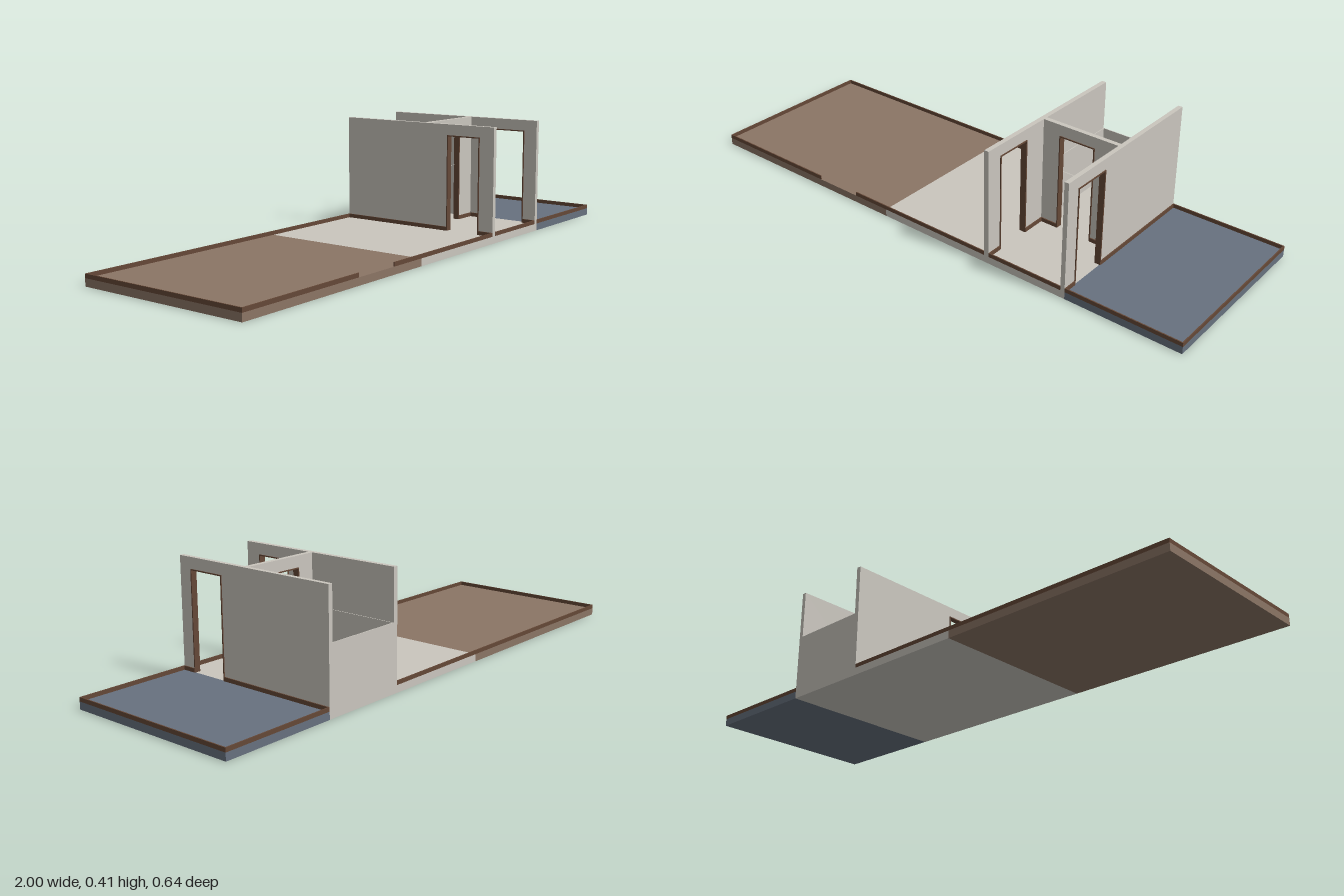
import * as THREE from 'three';

const mat = (name, color) => {
  const m = new THREE.MeshStandardMaterial({ color });
  m.name = name;
  return m;
};

export function createModel() {
  const model = new THREE.Group();
  model.name = 'apartmentSection';
  const wood = mat('brownFloor', 0x8b7565);
  const cream = mat('creamPlaster', 0xcac6be);
  const blue = mat('blueFloor', 0x67717f);
  const trim = mat('darkBrownTrim', 0x654837);

  const Z = 0.322, FLOOR = 0.026, TOP = 0.413, SKIRT = 0.04, T = 0.004;
  const DOOR_TOP = 0.374, TILE_TOP = 0.235;
  const A0 = 0.264, A1 = 0.281;   // first long wall
  const B0 = 0.567, B1 = 0.583;   // second long wall
  const C0 = 0.021, C1 = 0.038;   // cross wall

  // Box given by its bounds
  function box(name, material, x0, x1, y0, y1, z0, z1) {
    const mesh = new THREE.Mesh(new THREE.BoxGeometry(x1 - x0, y1 - y0, z1 - z0), material);
    mesh.position.set((x0 + x1) / 2, (y0 + y1) / 2, (z0 + z1) / 2);
    mesh.name = name;
    model.add(mesh);
  }

  // Upright slab along x or z, with an optional doorway cut from its foot
  function slab(name, axis, u0, u1, w0, w1, y1, door) {
    const s = new THREE.Shape();
    s.moveTo(u0, FLOOR);
    if (door) {
      const h = Math.min(DOOR_TOP, y1);
      s.lineTo(door[0], FLOOR);
      s.lineTo(door[0], h);
      s.lineTo(door[1], h);
      s.lineTo(door[1], FLOOR);
    }
    s.lineTo(u1, FLOOR);
    s.lineTo(u1, y1);
    s.lineTo(u0, y1);
    s.closePath();
    const geo = new THREE.ExtrudeGeometry(s, { depth: w1 - w0, bevelEnabled: false });
    const mesh = new THREE.Mesh(geo, cream);
    if (axis === 'z') {
      mesh.rotation.y = -Math.PI / 2;
      mesh.position.x = w1;
    } else mesh.position.z = w0;
    mesh.name = name;
    model.add(mesh);
  }

  // Box along x or z: u is the running direction, w the thickness
  function run(name, axis, u0, u1, w0, w1, y0, y1) {
    if (axis === 'x') box(name, trim, u0, u1, y0, y1, w0, w1);
    else box(name, trim, w0, w1, y0, y1, u0, u1);
  }
  const skirting = (axis, u0, u1, w0) => run('skirting', axis, u0, u1, w0, w0 + T, FLOOR, SKIRT);

  // Door lining standing slightly proud of both wall faces
  function lining(axis, door, w0, w1) {
    const p = 0.003;
    run('doorJamb', axis, door[0], door[0] + T, w0 - p, w1 + p, FLOOR, DOOR_TOP);
    run('doorJamb', axis, door[1] - T, door[1], w0 - p, w1 + p, FLOOR, DOOR_TOP);
    run('doorHead', axis, door[0] + T, door[1] - T, w0 - p, w1 + p, DOOR_TOP - T, DOOR_TOP);
  }

  // Floors
  box('livingFloor', wood, -1, -0.175, 0, FLOOR, -Z, Z);
  box('hallFloor', cream, -0.175, B1, 0, FLOOR, -Z, Z);
  box('bedroomFloor', blue, B1, 1, 0, FLOOR, -Z, Z);

  // Walls with doorways
  const doorA = [0.128, 0.264], doorB = [0.128, 0.271], doorC = [0.346, 0.482];
  slab('hallWall', 'z', -Z, Z, A0, A1, TOP, doorA);
  slab('bedroomWall', 'z', -Z, Z, B0, B1, TOP, doorB);
  slab('crossWall', 'x', A1, B0, C0, C1, TOP, doorC);
  lining('z', doorA, A0, A1);
  lining('z', doorB, B0, B1);
  lining('x', doorC, C0, C1);

  // Half-height tile lining of the back room
  const t = 0.003;
  slab('backTiles', 'x', A1, B0, -Z, -Z + t, TILE_TOP);
  slab('sideTiles', 'z', -Z + t, C0 - t, A1, A1 + t, TILE_TOP);
  slab('sideTiles', 'z', -Z + t, C0 - t, B0 - t, B0, TILE_TOP);
  slab('crossTiles', 'x', A1, B0, C0 - t, C0, TILE_TOP, doorC);

  // Skirting of the large room, with an entrance gap at the front
  skirting('z', -Z + T, Z - T, -1);
  skirting('x', -1, A0, -Z);
  skirting('x', -1, -0.5, Z - T);
  skirting('x', -0.32, A0, Z - T);
  skirting('z', -Z + T, doorA[0], A0 - T);
  skirting('z', doorA[1], Z - T, A0 - T);

  // Skirting of the small front room
  skirting('x', A1, B0, Z - T);
  skirting('x', A1, doorC[0], C1);
  skirting('x', doorC[1], B0, C1);
  for (const [x, door] of [[A1, doorA], [B0 - T, doorB]]) {
    skirting('z', C1 + T, door[0], x);
    skirting('z', door[1], Z - T, x);
  }

  // Skirting of the end room
  skirting('z', -Z + T, Z - T, 1 - T);
  skirting('x', B1, 1, -Z);
  skirting('x', B1, 1, Z - T);
  skirting('z', -Z + T, doorB[0], B1);
  skirting('z', doorB[1], Z - T, B1);

  return model;
}
